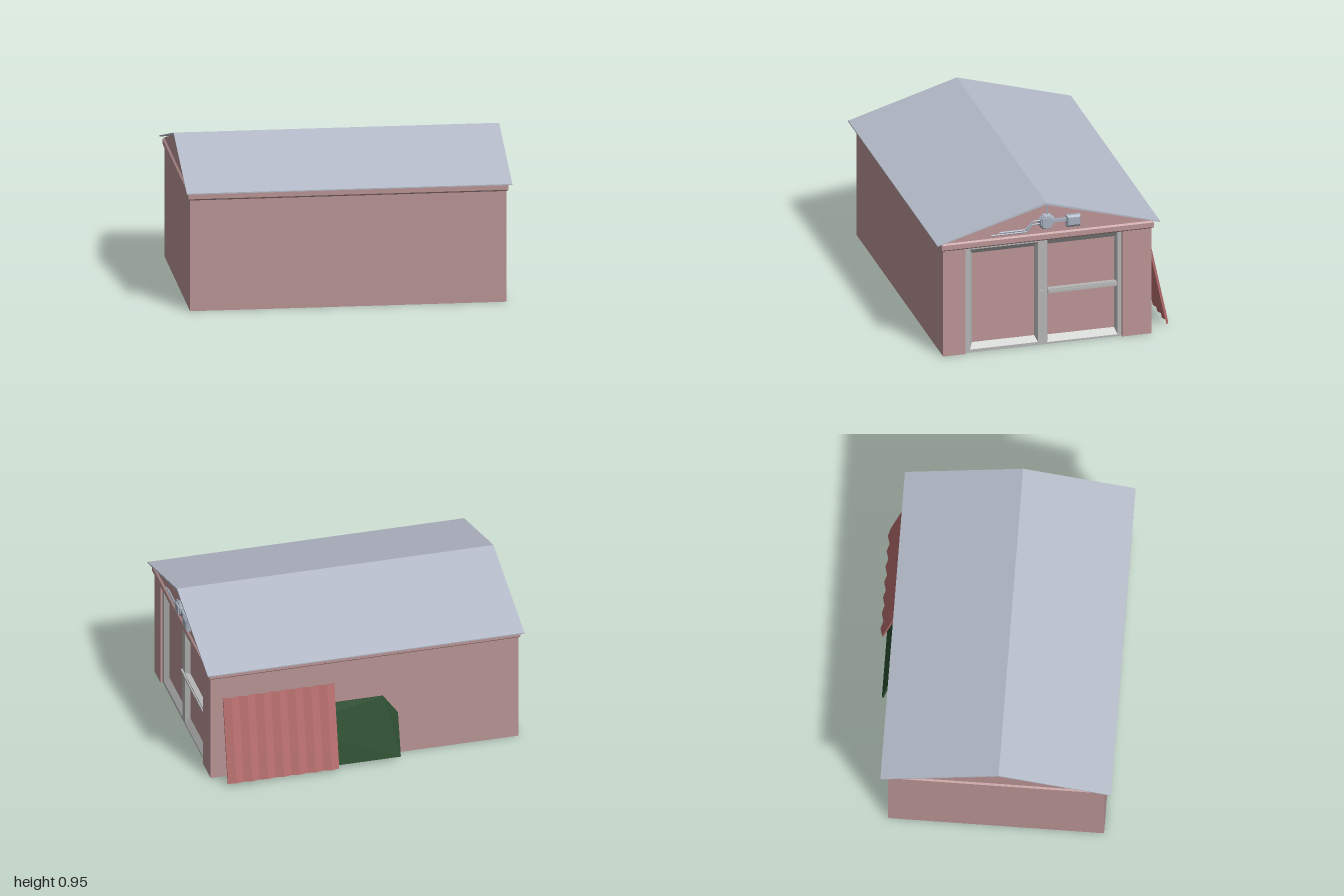
import * as THREE from 'three';

const mat = (color, extra = {}) => new THREE.MeshStandardMaterial({ color, flatShading: true, ...extra });
const M = {
  wall: mat(0xba9494), frame: mat(0xb4b6b4), roof: mat(0xb4bac8), metal: mat(0xa6afbd),
  sheet: mat(0xb86e6e, { side: THREE.DoubleSide }), green: mat(0x2b4f30, { side: THREE.DoubleSide }),
};

function add(parent, name, geo, material, x = 0, y = 0, z = 0) {
  const m = new THREE.Mesh(geo, material);
  m.name = name;
  m.position.set(x, y, z);
  parent.add(m);
  return m;
}

// Box given by its min and max corners
function block(parent, name, material, x0, y0, z0, x1, y1, z1) {
  return add(parent, name, new THREE.BoxGeometry(x1 - x0, y1 - y0, z1 - z0), material,
    (x0 + x1) / 2, (y0 + y1) / 2, (z0 + z1) / 2);
}

// Surface through a series of rectangles [u0, v0, u1, v1, w]
function loftRects(rects) {
  const loops = rects.map(([a, b, c, d, w]) => [[a, b, w], [c, b, w], [c, d, w], [a, d, w]]);
  const pos = [];
  for (let k = 0; k < loops.length - 1; k++) {
    for (let i = 0; i < 4; i++) {
      const j = (i + 1) % 4, p = loops[k], q = loops[k + 1];
      pos.push(...p[i], ...p[j], ...q[j], ...p[i], ...q[j], ...q[i]);
    }
  }
  const g = new THREE.BufferGeometry();
  g.setAttribute('position', new THREE.Float32BufferAttribute(pos, 3));
  g.computeVertexNormals();
  return g;
}

const extrude = (pts, depth) => new THREE.ExtrudeGeometry(
  new THREE.Shape(pts.map(p => new THREE.Vector2(...p))), { depth, bevelEnabled: false });

// Straight rods along a polyline
function rods(parent, name, pts, r) {
  for (let i = 0; i < pts.length - 1; i++) {
    const a = new THREE.Vector3(...pts[i]), b = new THREE.Vector3(...pts[i + 1]);
    const line = new THREE.LineCurve3(a, b);
    add(parent, name, new THREE.TubeGeometry(line, 1, r, 6), M.metal);
  }
}

function createWalls(g) {
  block(g, 'frontWall', M.wall, -0.975, 0, 0.665, 0.96, 0.74, 0.70);
  block(g, 'backWall', M.wall, -0.975, 0, -0.615, 0.96, 0.74, -0.58);
  block(g, 'leftEndWall', M.wall, -0.975, 0, -0.58, -0.81, 0.74, 0.665);
  // Piers and lintel around the doors
  block(g, 'doorPier', M.wall, 0.9, 0, 0.56, 0.96, 0.74, 0.665);
  block(g, 'doorPier', M.wall, 0.9, 0, -0.58, 0.96, 0.74, -0.43);
  block(g, 'doorLintel', M.wall, 0.9, 0.7, -0.43, 0.96, 0.74, 0.56);
  // Chamfered band below the eaves
  const rect = (o, h) => [-0.975 - o, -0.70 - o, 0.96 + o, 0.615 + o, h];
  const band = loftRects([rect(0, 0.695), rect(0.011, 0.705), rect(0.011, 0.736), rect(0, 0.745)]);
  band.rotateX(-Math.PI / 2);
  add(g, 'eavesBand', band, M.wall);
  // Gable prism, its underside is the ceiling
  const gable = extrude([[-0.70, 0.738], [0.615, 0.738], [0.615, 0.75], [-0.06, 0.943], [-0.70, 0.75]], 1.935);
  gable.rotateY(Math.PI / 2);
  add(g, 'gable', gable, M.wall, -0.975);
}

function createRoof(g) {
  const roof = extrude([[-0.745, 0.743], [-0.06, 0.941], [0.66, 0.743], [0.66, 0.75], [-0.06, 0.955], [-0.745, 0.75]], 1.99);
  roof.rotateY(Math.PI / 2);
  add(g, 'roof', roof, M.roof, -1);
}

// Doors in local axes: x along the wall, y up, z outwards
function createDoors() {
  const d = new THREE.Group();
  d.name = 'doors';
  const leaf = (u0, u1, v1, hole, inner) => {
    add(d, 'doorFrame', loftRects([[u0, 0, u1, v1, -0.06], [u0, 0, u1, v1, -0.015],
      [...hole, -0.015], [...inner, -0.045]]), M.frame);
    block(d, 'doorPanel', M.wall, u0, 0, -0.06, u1, v1, -0.046);
  };
  leaf(-0.56, -0.062, 0.70, [-0.527, 0.02, -0.098, 0.68], [-0.507, 0.055, -0.114, 0.645]);
  leaf(-0.062, 0.43, 0.70, [-0.04, 0.012, 0.405, 0.69], [-0.028, 0.05, 0.39, 0.65]);
  block(d, 'doorRail', M.frame, -0.035, 0.335, -0.046, 0.4, 0.363, -0.012);
  block(d, 'doorRailTrim', M.frame, -0.035, 0.342, -0.02, 0.395, 0.355, -0.004);
  block(d, 'doorLatch', M.frame, -0.1, 0.345, -0.02, -0.04, 0.36, -0.004);
  return d;
}

// Lamp, junction box and cables on the gable
function createFixture() {
  const f = new THREE.Group();
  f.name = 'gableFixture';
  const disc = new THREE.CylinderGeometry(0.042, 0.055, 0.024, 8);
  disc.rotateY(Math.PI / 8).rotateX(Math.PI / 2);
  add(f, 'junctionDisc', disc, M.metal, -0.05, 0.82, 0.012);
  block(f, 'junctionCover', M.metal, -0.085, 0.795, 0.015, -0.02, 0.85, 0.035);
  block(f, 'lampArm', M.metal, -0.01, 0.814, 0.004, 0.08, 0.834, 0.02);
  const lamp = loftRects([[0.072, 0.775, 0.16, 0.85, 0], [0.072, 0.775, 0.16, 0.85, 0.022],
    [0.08, 0.79, 0.152, 0.84, 0.034], [0.116, 0.815, 0.116, 0.815, 0.034]]);
  add(f, 'lamp', lamp, M.metal);
  rods(f, 'conduit', [[-0.047, 0.87, 0.008], [-0.047, 0.935, 0.008]], 0.005);
  rods(f, 'cable', [[-0.09, 0.834, 0.008], [-0.135, 0.83, 0.008], [-0.185, 0.78, 0.008], [-0.35, 0.78, 0.008]], 0.006);
  rods(f, 'cable', [[-0.09, 0.813, 0.008], [-0.14, 0.81, 0.008], [-0.175, 0.767, 0.008], [-0.4, 0.767, 0.008]], 0.005);
  return f;
}

// Corrugated sheet and green board leaning on the back wall
function createLeaningSheets(g) {
  const top = [], n = 14, step = 0.05;
  for (let i = 0; i <= n; i++) top.push([0.185 + i * step, i % 2 ? -0.014 : 0]);
  const under = top.map(([x, y]) => [x, y + 0.01]).reverse();
  const sheet = extrude([...top, ...under], 0.548);
  sheet.rotateX(Math.PI / 2); // profile depth becomes z, length runs down
  const s = add(g, 'corrugatedSheet', sheet, M.sheet, 0, 0.555, -0.625);
  s.rotation.x = 0.208;

  const board = extrude([[-0.35, 0], [0.35, 0], [0.345, 0.29], [0.26, 0.405], [-0.26, 0.405], [-0.345, 0.29]], 0.012);
  // Bow the board slightly outwards in the middle
  const p = board.attributes.position;
  for (let i = 0; i < p.count; i++) {
    const y = p.getY(i);
    p.setZ(i, p.getZ(i) - 0.008 * Math.sin(Math.PI * y / 0.405));
  }
  board.computeVertexNormals();
  const b = add(g, 'greenBoard', board, M.green, 0.14, 0.025, -0.71);
  b.rotation.x = 0.19;
}

export function createModel() {
  const g = new THREE.Group();
  g.name = 'shed';
  createWalls(g);
  createRoof(g);
  for (const part of [createDoors(), createFixture()]) {
    part.rotation.y = Math.PI / 2;
    part.position.x = 0.96;
    g.add(part);
  }
  createLeaningSheets(g);
  return g;
}
